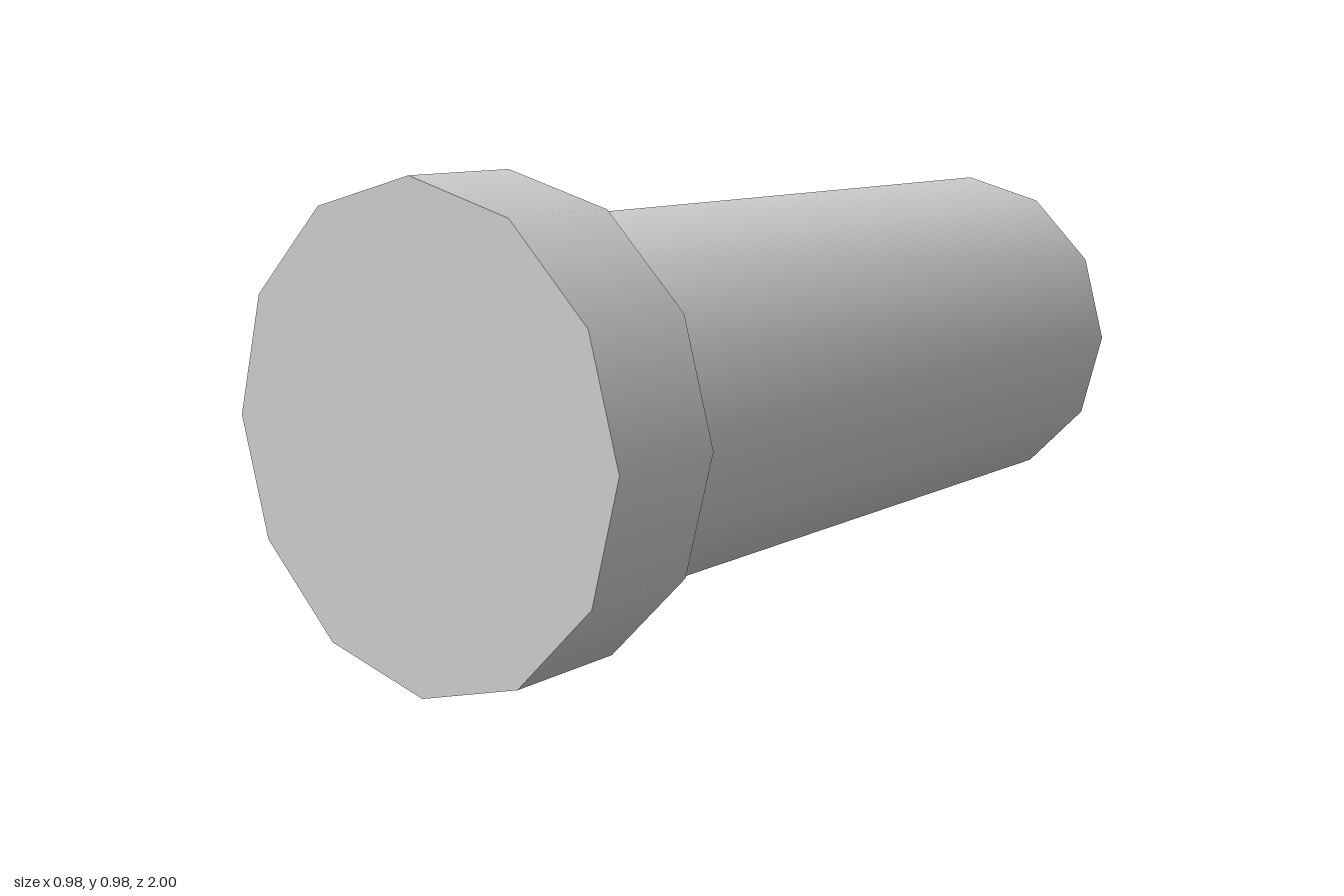
import * as THREE from 'three';

const SIDES = 12;
const HEAD_RADIUS = 0.4875;

export function createModel() {
  const group = new THREE.Group();
  group.name = 'headedPin';
  const grey = new THREE.MeshStandardMaterial({ color: 0xcccccc });
  grey.name = 'light grey';

  // Twelve-sided, smooth-shaded cylinder lying along z
  function addBarrel(name, radius, zBack, zFront) {
    const geometry = new THREE.CylinderGeometry(radius, radius, zFront - zBack, SIDES);
    geometry.rotateX(Math.PI / 2);
    const mesh = new THREE.Mesh(geometry, grey);
    mesh.name = name;
    mesh.position.set(0, HEAD_RADIUS, (zBack + zFront) / 2);
    group.add(mesh);
  }

  // Wide head at the front, long shaft behind it
  addBarrel('head', HEAD_RADIUS, 0.74, 1);
  addBarrel('shaft', 0.39, -1, 0.74);

  return group;
}
